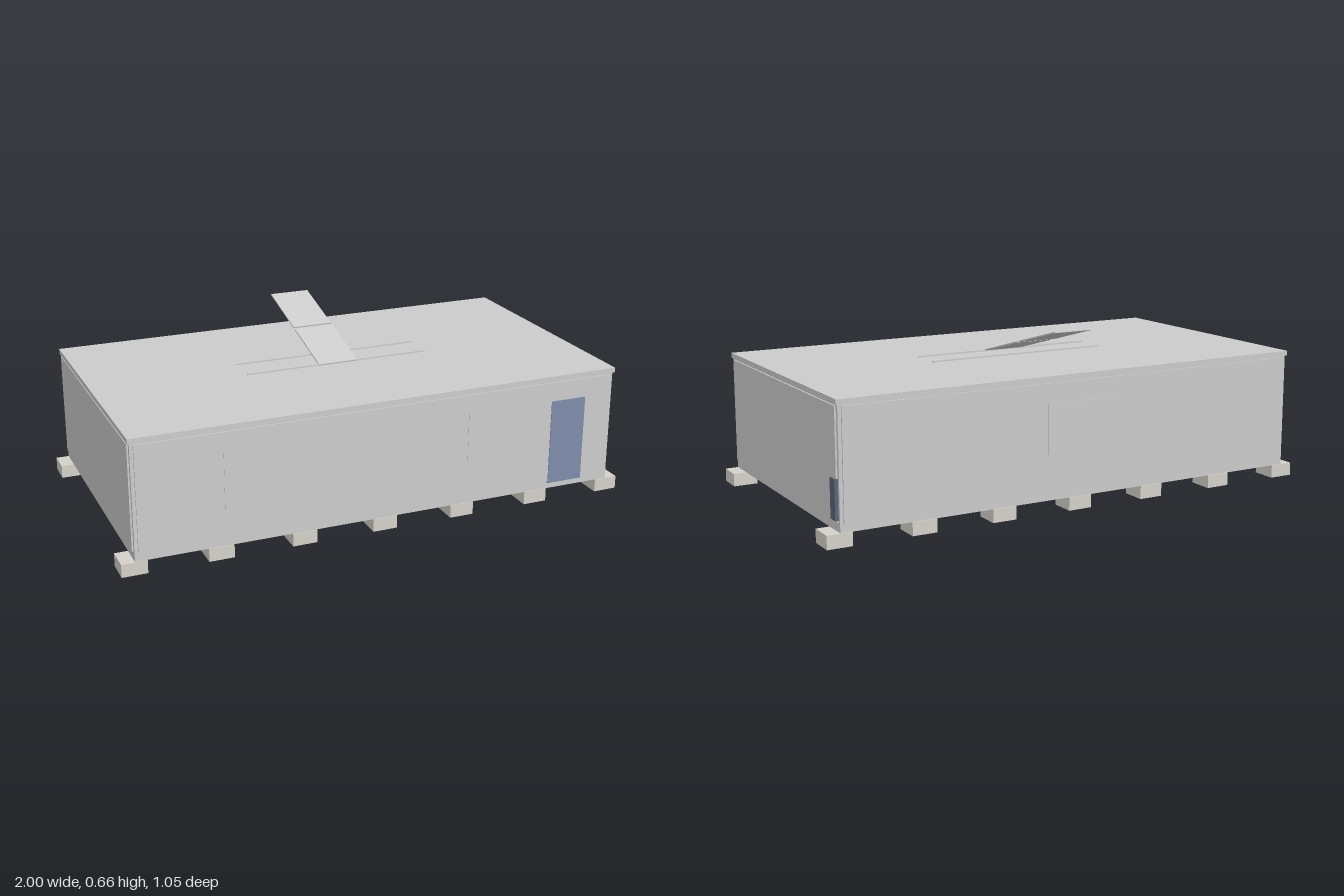
import * as THREE from 'three';

const mat = (color) => new THREE.MeshStandardMaterial({ color });
const grey = mat(0xcccccc);
const concrete = mat(0xd3d1c8);
const floorMat = mat(0xcbc4b2);
const doorBlue = mat(0x7f8bab);
const unitBlue = mat(0x5c6576);

export function createModel() {
  const model = new THREE.Group();

  // Box given by its lower and upper corners
  const box = (name, [x0, y0, z0], [x1, y1, z1], material = grey, parent = model) => {
    const mesh = new THREE.Mesh(new THREE.BoxGeometry(x1 - x0, y1 - y0, z1 - z0), material);
    mesh.position.set((x0 + x1) / 2, (y0 + y1) / 2, (z0 + z1) / 2);
    mesh.name = name;
    parent.add(mesh);
    return mesh;
  };

  // Foundation blocks along both long sides
  for (let i = -3; i <= 3; i++) {
    const x = i * 0.3175;
    box('foundationBlock', [x - 0.0475, 0, 0.42], [x + 0.0475, 0.05, 0.517], concrete);
    box('foundationBlock', [x - 0.0475, 0, -0.517], [x + 0.0475, 0.05, -0.42], concrete);
  }

  // Floor slabs, container body and roof
  box('floorSlab', [-0.948, 0.0495, -0.513], [-0.0005, 0.06, 0.513], floorMat);
  box('floorSlab', [0.0005, 0.0495, -0.513], [0.948, 0.06, 0.513], floorMat);
  box('body', [-0.95, 0.051, -0.516], [0.95, 0.491, 0.516]);
  box('roof', [-0.957, 0.491, -0.521], [0.957, 0.51, 0.521]);

  // Wall panels, proud of the frame
  box('frontWallPanel', [-0.937, 0.084, 0.514], [0.937, 0.485, 0.521]);
  box('backWallPanel', [-0.937, 0.084, -0.521], [0.937, 0.485, -0.514]);
  box('rightWallPanel', [-0.956, 0.084, -0.503], [-0.948, 0.485, 0.503]);
  box('leftWallPanel', [0.948, 0.084, -0.503], [0.956, 0.485, 0.503]);

  // Windows, door and wall unit
  box('frontWindow', [-0.62, 0.19, 0.518], [-0.335, 0.41, 0.5225]);
  box('frontWindow', [0.333, 0.19, 0.518], [0.618, 0.41, 0.5225]);
  box('backWindow', [-0.143, 0.19, -0.524], [0.143, 0.41, -0.518]);
  box('door', [0.685, 0.075, 0.514], [0.83, 0.41, 0.5235], doorBlue);
  box('wallUnit', [0.95, 0.092, -0.506], [0.963, 0.236, -0.465], unitBlue);

  // Roof rails
  for (const z of [-0.0625, 0.0625]) {
    box('roofRail', [-0.37, 0.509, z - 0.003], [0.37, 0.516, z + 0.003]);
  }

  // Two tilted solar panels rising towards the back
  const array = new THREE.Group();
  array.name = 'solarArray';
  array.position.set(0, 0.511, 0.067);
  array.rotation.x = THREE.MathUtils.degToRad(15);
  for (const z of [-0.266, -0.544]) {
    box('solarPanel', [-0.08, 0, z], [0.08, 0.005, z + 0.266], grey, array);
  }
  model.add(array);

  return model;
}
